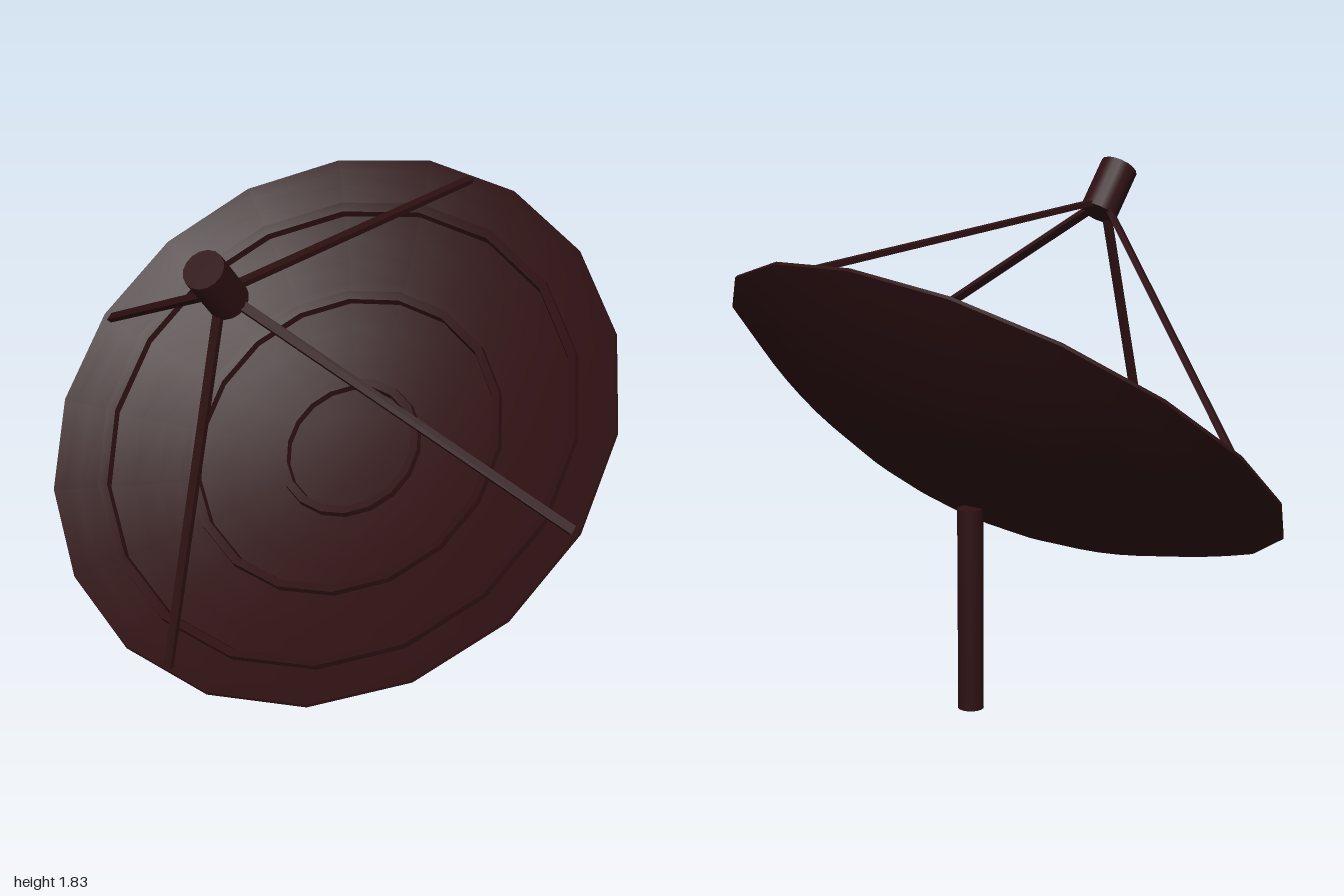
import * as THREE from 'three';
import { toCreasedNormals } from 'three/addons/utils/BufferGeometryUtils.js';

const SIDES = 18;
const R = 1.015;      // rim radius
const DEPTH = 0.31;   // depth of the bowl behind the rim

export function createModel() {
  const model = new THREE.Group();
  const material = new THREE.MeshStandardMaterial({ color: 0x2e1113 });

  const add = (parent, name, geometry) => {
    const mesh = new THREE.Mesh(geometry, material);
    mesh.name = name;
    parent.add(mesh);
    return mesh;
  };

  // Upright pole under the bowl
  add(model, 'pole', new THREE.CylinderGeometry(0.044, 0.044, 0.7, 16))
    .position.set(-0.058, 0.35, -0.162);

  // Tilted assembly: local y is the dish axis, origin is the rim centre
  const tilted = new THREE.Group();
  tilted.name = 'tiltedDish';
  const axis = new THREE.Vector3(0.168, 0.808, 0.563).normalize();
  const right = new THREE.Vector3(0.968, -0.03, -0.25);
  right.addScaledVector(axis, -right.dot(axis)).normalize();
  const back = new THREE.Vector3().crossVectors(axis, right);
  tilted.quaternion.setFromRotationMatrix(new THREE.Matrix4().makeBasis(back, axis, right));
  tilted.position.set(0, 0.97, 0);
  model.add(tilted);

  // Bowl: parabolic back, thin rim, parabolic inside with three raised rings
  const outer = (r) => -DEPTH * (1 - (r / R) ** 2);
  const inner = (r) => outer(r) + 0.012 + 0.018 * (1 - (r / R) ** 2);
  const profile = [];
  const point = (r, y) => profile.push(new THREE.Vector2(r, y));
  for (let i = 0; i <= 12; i++) point((R * i) / 12, outer((R * i) / 12));
  point(R - 0.004, inner(R));
  for (const r of [0.98, 0.93]) point(r, inner(r));
  const rings = [[0.87, 0.76, 0.68, 0.61], [0.575, 0.46, 0.38, 0.31], [0.262, 0.15, 0.08, 0]];
  for (const [r, ...plain] of rings) {
    const h = 0.025;
    point(r, inner(r));
    point(r - 0.004, inner(r) + h);
    point(r - 0.032, inner(r - 0.032) + h);
    point(r - 0.036, inner(r - 0.036));
    for (const p of plain) point(p, inner(p));
  }
  add(tilted, 'dish', toCreasedNormals(new THREE.LatheGeometry(profile, SIDES), 0.5));

  // Receiver held on the axis in front of the bowl
  add(tilted, 'receiver', new THREE.CylinderGeometry(0.066, 0.066, 0.19, 16))
    .position.y = 0.92;

  // Four flat struts from the rim to the receiver
  const from = new THREE.Vector3(0, 0.002, 0.985);
  const to = new THREE.Vector3(0, 0.84, 0.045);
  const dir = to.clone().sub(from);
  for (let i = 0; i < 4; i++) {
    const arm = new THREE.Group();
    arm.name = 'strutArm';
    arm.rotation.y = (i * Math.PI) / 2;
    const strut = add(arm, 'strut', new THREE.BoxGeometry(0.03, dir.length(), 0.018));
    strut.position.copy(from).lerp(to, 0.5);
    strut.rotation.x = Math.atan2(dir.z, dir.y);
    tilted.add(arm);
  }
  return model;
}
